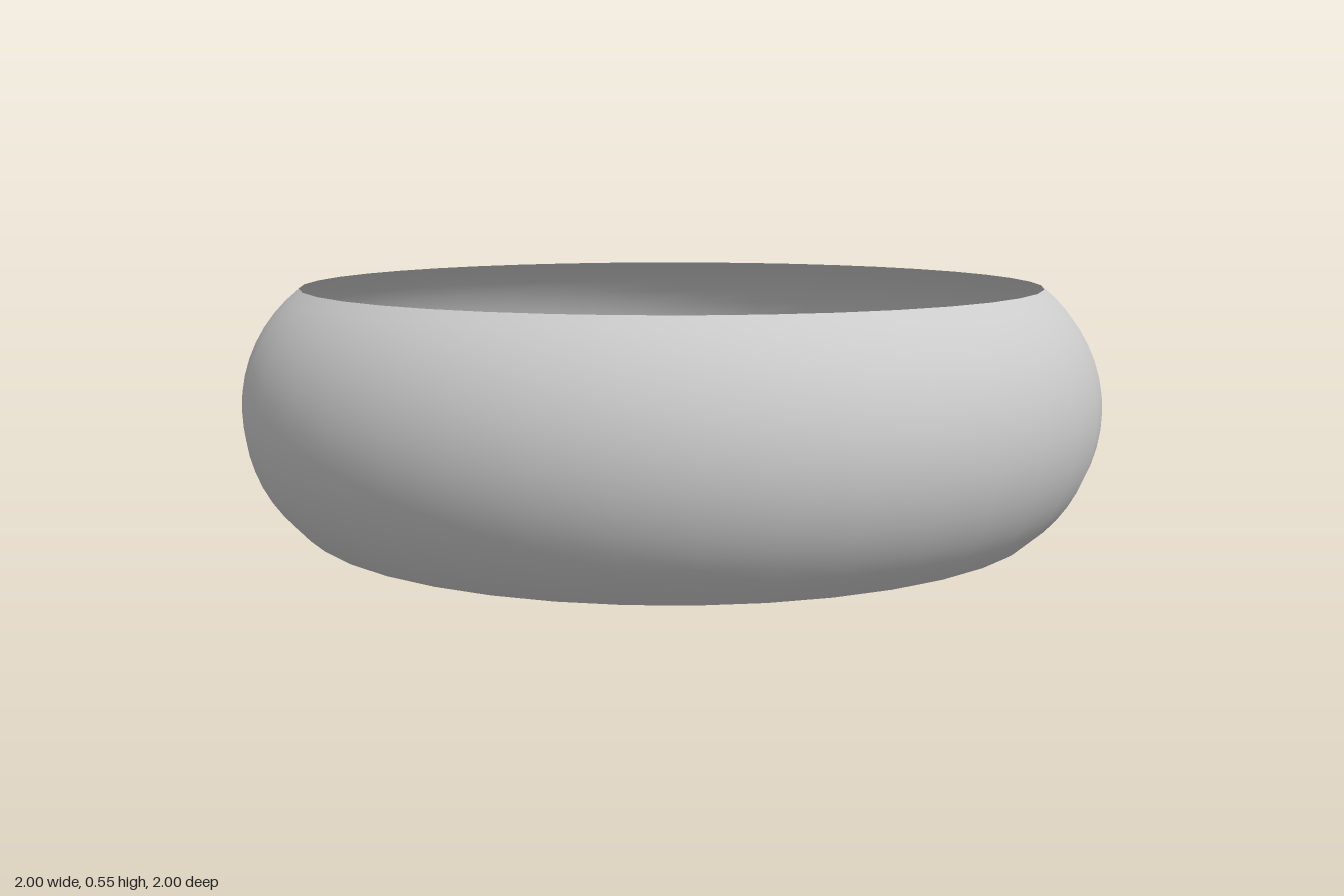
import * as THREE from 'three';

export function createModel() {
  const group = new THREE.Group();
  group.name = 'ring';

  // Bulging band: a circular arc swept around the y axis, open at top and bottom
  const halfHeight = 0.275, bulge = 0.135, steps = 16;
  const arcRadius = (halfHeight ** 2 + bulge ** 2) / (2 * bulge);
  const endAngle = Math.asin(halfHeight / arcRadius);
  const profile = [];
  for (let i = 0; i <= steps; i++) {
    const a = endAngle * (2 * i / steps - 1);
    profile.push(new THREE.Vector2(
      1 - arcRadius * (1 - Math.cos(a)),
      halfHeight + arcRadius * Math.sin(a)
    ));
  }

  // Thin shell, seen from inside and outside
  const band = new THREE.Mesh(
    new THREE.LatheGeometry(profile, 40),
    new THREE.MeshStandardMaterial({ color: 0xcccccc, side: THREE.DoubleSide })
  );
  band.name = 'band';
  group.add(band);
  return group;
}
